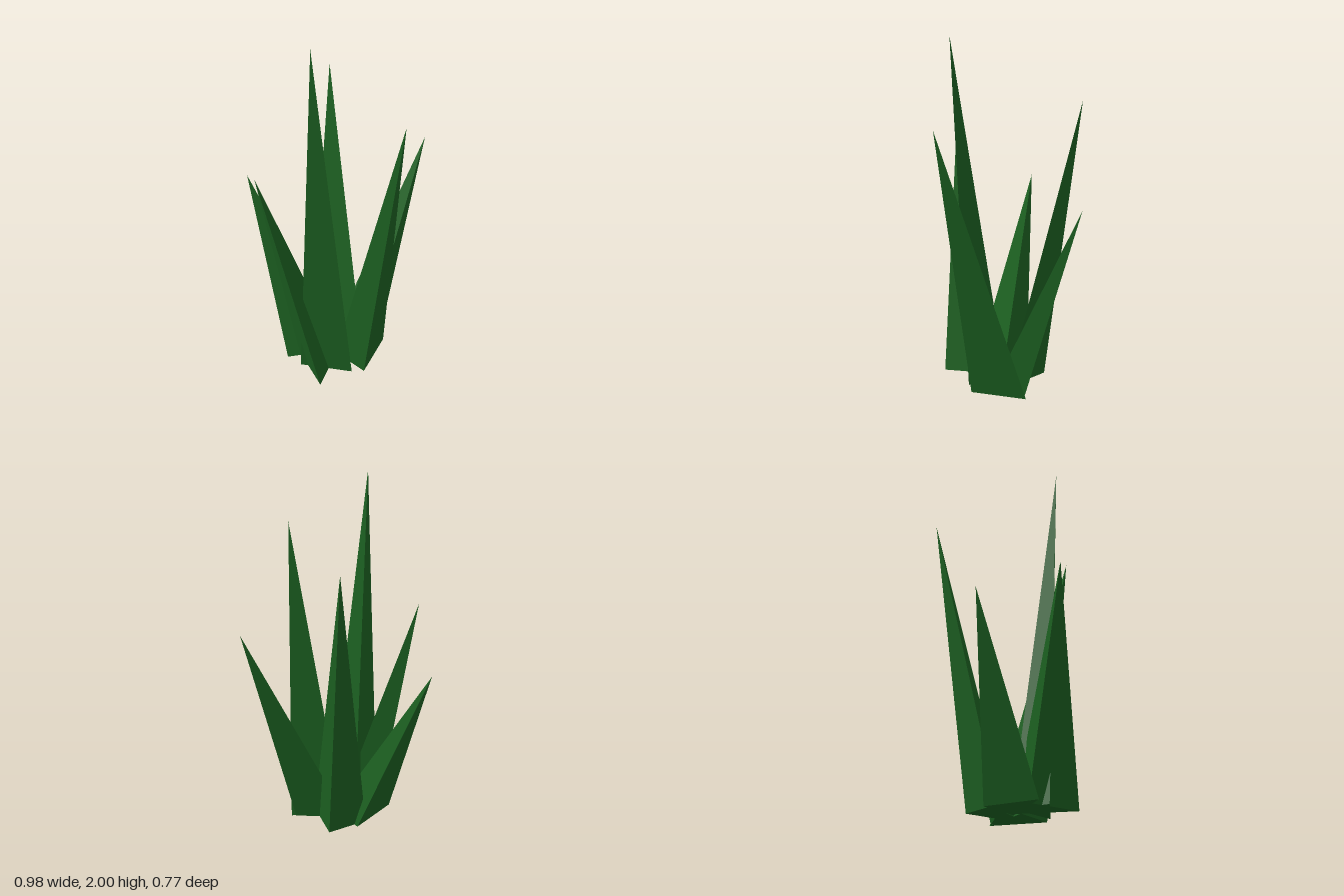
import * as THREE from 'three';
import { ConvexGeometry } from 'three/addons/geometries/ConvexGeometry.js';

// Each leaf is a three-sided spike: a tip [x, y, z] over a ground triangle of [x, z] corners.
const leaves = [
  { name: 'tallFrontLeaf', tip: [-0.02, 2.0, 0.31], base: [[-0.025, 0.04], [0.192, 0.235], [-0.11, 0.232]] },
  { name: 'frontLeftLeaf', tip: [0.46, 1.66, 0.365], base: [[0.07, 0.085], [0.325, -0.093], [0.26, 0.217]] },
  { name: 'backLeaf', tip: [-0.065, 1.64, -0.385], base: [[0.06, -0.2], [-0.11, -0.03], [0.217, 0.02]] },
  { name: 'frontRightLeaf', tip: [-0.32, 1.26, 0.315], base: [[0.08, 0.04], [0.037, 0.383], [-0.14, 0.125]] },
  { name: 'backLeftLeaf', tip: [0.485, 1.25, -0.365], base: [[0.01, -0.02], [0.224, 0.096], [0.3, -0.085]] },
  { name: 'rightLeaf', tip: [-0.49, 1.03, -0.122], base: [[0.104, 0.045], [-0.2, 0.18], [-0.08, -0.1]] },
];

export function createModel() {
  const plant = new THREE.Group();
  plant.name = 'spikyPlant';
  const green = new THREE.MeshStandardMaterial({ color: 0x1b5e20, flatShading: true });

  // Closed spike for every leaf
  for (const { name, tip, base } of leaves) {
    const corners = base.map(([x, z]) => new THREE.Vector3(x, 0, z));
    const leaf = new THREE.Mesh(new ConvexGeometry([...corners, new THREE.Vector3(...tip)]), green);
    leaf.name = name;
    plant.add(leaf);
  }
  return plant;
}
